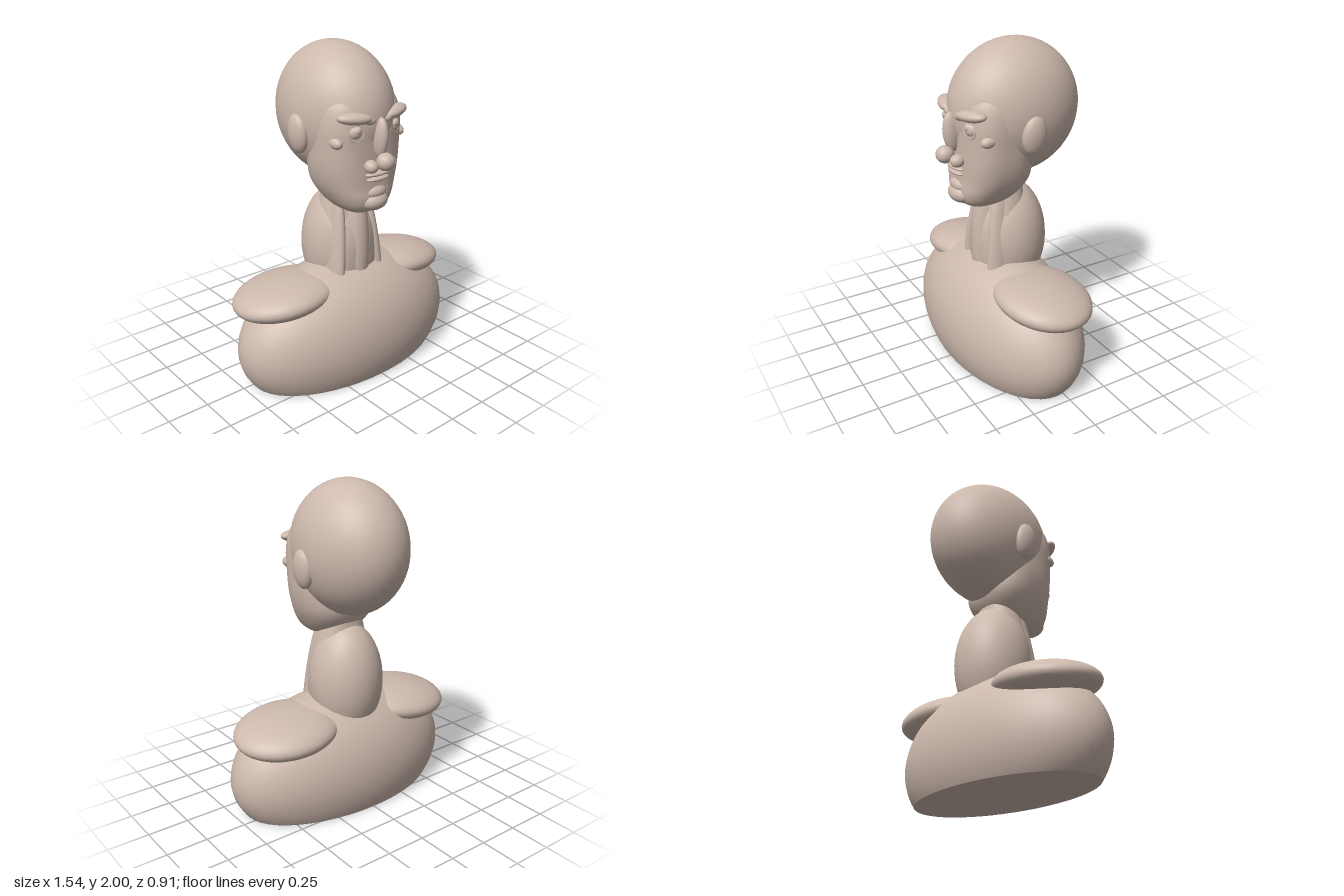
import * as THREE from 'three';

export function createModel() {
  const group = new THREE.Group();
  const skin = new THREE.MeshStandardMaterial({ color: 0xcdb9ad });
  skin.name = 'clay skin';

  const add = (name, geo, pos = [0, 0, 0], rot = [0, 0, 0], scale = [1, 1, 1]) => {
    const m = new THREE.Mesh(geo, skin);
    m.name = name;
    m.position.set(...pos);
    m.rotation.set(...rot);
    m.scale.set(...scale);
    group.add(m);
    return m;
  };
  const ball = new THREE.SphereGeometry(1, 40, 28);
  const blob = (name, pos, radii, rot) => add(name, ball, pos, rot, radii);
  // Same blob on both sides of the face
  const pair = (name, [x, y, z], radii, [rx, ry, rz] = [0, 0, 0]) => {
    blob(name + 'Left', [x, y, z], radii, [rx, ry, rz]);
    blob(name + 'Right', [-x, y, z], radii, [rx, -ry, -rz]);
  };

  // Loft of superellipse rings, rows are [y, halfWidth, zBack, zFront], bottom to top
  const loft = (rows, power, n = 48) => {
    const curve = (k) => new THREE.CatmullRomCurve3(rows.map((r) => new THREE.Vector3(r[0], r[1], r[k])));
    const back = curve(2), front = curve(3);
    const steps = rows.length * 4;
    const pos = [], idx = [];
    const sup = (v) => Math.sign(v) * Math.abs(v) ** (2 / power);
    for (let i = 0; i <= steps; i++) {
      const b = back.getPoint(i / steps), f = front.getPoint(i / steps);
      const mid = (b.z + f.z) / 2, depth = (f.z - b.z) / 2;
      for (let j = 0; j < n; j++) {
        const a = (j / n) * Math.PI * 2;
        pos.push(b.y * sup(Math.sin(a)), b.x, mid + depth * sup(Math.cos(a)));
        if (i < steps) {
          const p = i * n + j, q = i * n + ((j + 1) % n);
          idx.push(p, q, p + n, q, q + n, p + n);
        }
      }
    }
    const g = new THREE.BufferGeometry();
    g.setAttribute('position', new THREE.Float32BufferAttribute(pos, 3));
    g.setIndex(idx);
    g.computeVertexNormals();
    return g;
  };

  // Chest: ellipsoid cut flat at the ground
  const ry = 0.475, cy = 0.22;
  const cut = Math.acos(-cy / ry);
  add('chest', new THREE.SphereGeometry(1, 48, 28, 0, Math.PI * 2, 0, cut), [0, cy, 0.05], [0, 0, 0], [0.77, ry, 0.405]);
  const s = Math.sin(cut);
  add('base', new THREE.CircleGeometry(1, 48), [0, 0, 0.05], [Math.PI / 2, 0, 0], [0.77 * s, 0.405 * s, 1]);
  pair('shoulder', [0.43, 0.54, 0], [0.33, 0.112, 0.287], [-0.09, 0, -0.09]);

  // Neck: rounded back, flatter front column, throat and side cords
  blob('neck', [0, 0.77, -0.015], [0.23, 0.37, 0.235]);
  add('neckFront', loft([
    [0.55, 0.2, -0.12, 0.2], [0.7, 0.2, -0.12, 0.215], [0.85, 0.19, -0.11, 0.205],
    [1.0, 0.165, -0.1, 0.165], [1.15, 0.13, -0.08, 0.13]], 2.3));
  blob('throat', [0, 0.76, 0.14], [0.085, 0.42, 0.093]);
  pair('neckCord', [0.135, 0.77, 0.12], [0.045, 0.42, 0.08], [-0.1, 0, 0.1]);

  // Head: cranium and squared face with jaw
  blob('cranium', [0, 1.6, -0.05], [0.315, 0.4, 0.405]);
  add('face', loft([
    [1.03, 0.005, 0.16, 0.17], [1.04, 0.085, 0.07, 0.26], [1.08, 0.15, 0, 0.32],
    [1.14, 0.195, -0.07, 0.34], [1.22, 0.235, -0.11, 0.335], [1.32, 0.26, -0.11, 0.335],
    [1.45, 0.27, -0.1, 0.335], [1.58, 0.272, -0.1, 0.335], [1.7, 0.245, -0.1, 0.31],
    [1.82, 0.15, -0.1, 0.2]], 2.6));
  pair('ear', [0.3, 1.505, -0.012], [0.047, 0.117, 0.078], [0, 0, -0.08]);

  // Brows, eyes with lower lids, and cheekbones
  pair('brow', [0.15, 1.63, 0.305], [0.105, 0.034, 0.052], [0, 0.35, 0.08]);
  pair('innerBrow', [0.07, 1.612, 0.33], [0.045, 0.025, 0.03], [0, 0.1, 0.2]);
  pair('eyeball', [0.14, 1.55, 0.286], [0.047, 0.047, 0.047]);
  pair('iris', [0.137, 1.562, 0.315], [0.025, 0.025, 0.024]);
  const lid = new THREE.TorusGeometry(0.046, 0.009, 8, 24, Math.PI);
  for (const side of [1, -1]) {
    add(side > 0 ? 'lowerLidLeft' : 'lowerLidRight', lid, [side * 0.14, 1.545, 0.312], [0, side * 0.3, Math.PI]);
  }
  pair('cheekbone', [0.222, 1.495, 0.225], [0.038, 0.038, 0.065], [0.15, 0.2, 0]);

  // Nose
  blob('noseBridge', [0, 1.505, 0.35], [0.038, 0.12, 0.056], [0.08, 0, 0]);
  blob('noseTip', [0, 1.378, 0.398], [0.052, 0.052, 0.054]);
  pair('nostril', [0.068, 1.352, 0.355], [0.04, 0.038, 0.044]);

  // Mouth and chin
  blob('upperLip', [0, 1.297, 0.333], [0.09, 0.017, 0.036]);
  blob('lowerLip', [0, 1.265, 0.33], [0.082, 0.016, 0.036]);
  blob('chinPad', [0, 1.18, 0.305], [0.08, 0.045, 0.055]);
  blob('chin', [0, 1.125, 0.295], [0.095, 0.062, 0.08]);

  return group;
}
